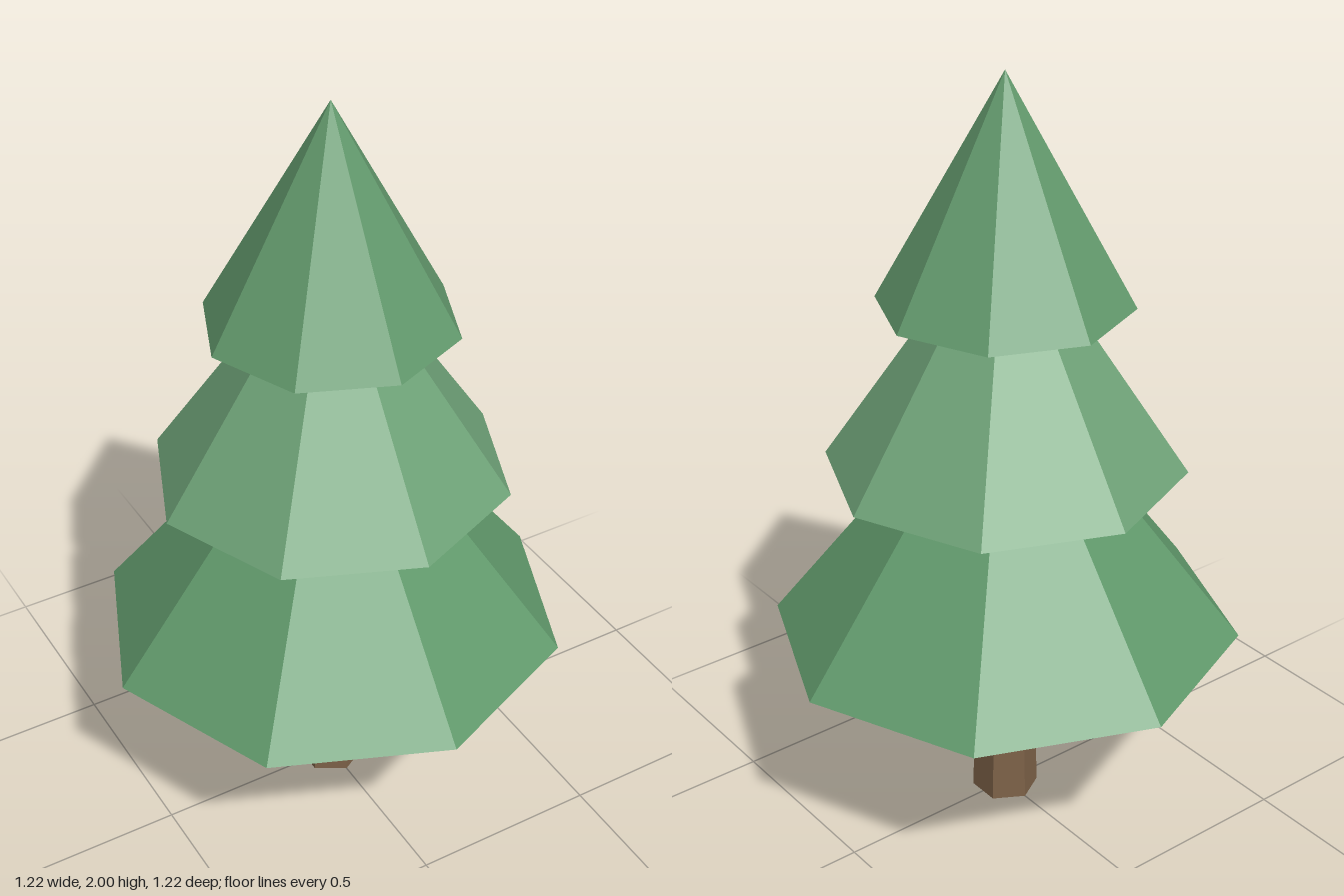
import * as THREE from 'three';

const material = (color) => new THREE.MeshStandardMaterial({ color, flatShading: true });

// Places a mesh so that its lower end sits at the given height
function addPart(group, name, geometry, color, base) {
  geometry.translate(0, geometry.parameters.height / 2 + base, 0);
  const mesh = new THREE.Mesh(geometry, material(color));
  mesh.name = name;
  group.add(mesh);
}

export function createModel() {
  const tree = new THREE.Group();
  tree.name = 'pineTree';

  // Tapered six-sided trunk, ending just inside the lowest branches
  addPart(tree, 'trunk', new THREE.CylinderGeometry(0.071, 0.088, 0.58, 6), 0x7d6248, 0);

  // Three overlapping eight-sided tiers of foliage
  const tiers = [
    { name: 'lowerFoliage', base: 0.52, top: 1.3, radius: 0.61, color: 0x619a6c },
    { name: 'middleFoliage', base: 0.99, top: 1.67, radius: 0.46, color: 0x6fa378 },
    { name: 'upperFoliage', base: 1.425, top: 2, radius: 0.32, color: 0x639a6d },
  ];
  for (const { name, base, top, radius, color } of tiers) {
    addPart(tree, name, new THREE.ConeGeometry(radius, top - base, 8), color, base);
  }
  return tree;
}
